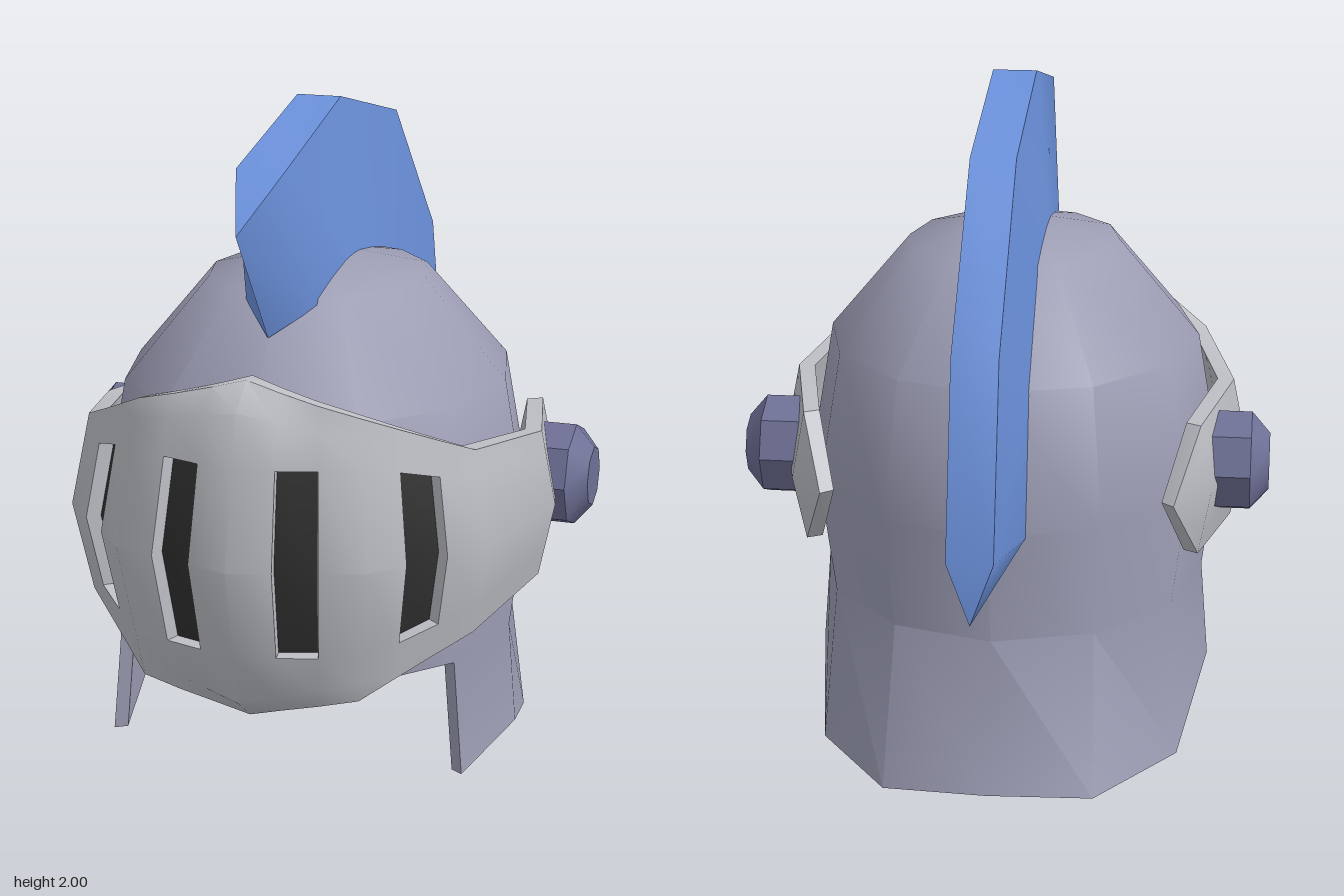
import * as THREE from 'three';
import { toCreasedNormals } from 'three/addons/utils/BufferGeometryUtils.js';

const CENTER_Z = 0.16;
const CREASE = 0.7;

const material = (name, color) => {
  const m = new THREE.MeshStandardMaterial({ color });
  m.name = name;
  return m;
};

// Linear interpolation through [x, y] pairs
function table(pairs, x) {
  for (let i = 1; i < pairs.length; i++) {
    const [x0, y0] = pairs[i - 1], [x1, y1] = pairs[i];
    if (x <= x1) return y0 + (y1 - y0) * (x - x0) / (x1 - x0);
  }
  return pairs[pairs.length - 1][1];
}

// Point on a twelve-sided ellipse; s counts sides from the front towards +x
function ring(s, rx, rz, y) {
  const k = Math.floor(s), f = s - k, step = Math.PI / 6;
  const mix = fn => fn(k * step) * (1 - f) + fn((k + 1) * step) * f;
  return [rx * mix(Math.sin), y, CENTER_Z + rz * mix(Math.cos)];
}

// Thick shell over a grid of cells, with walls along every open border.
// outer(i, j) and inner(i, j) give points; has(i, j) tells if a cell exists.
function shell(cols, rows, outer, inner, has = () => true, wrap = false) {
  const pos = [];
  const tri = (a, b, c) => {
    const [u, v, w] = [a, b, c].map(p => new THREE.Vector3(...p));
    if (v.sub(u).cross(w.sub(u)).length() > 1e-7) pos.push(...a, ...b, ...c);
  };
  const quad = (a, b, c, d) => { tri(a, b, c); tri(a, c, d); };
  const exists = (i, j) => {
    if (wrap) i = (i + cols) % cols;
    return i >= 0 && i < cols && j >= 0 && j < rows && has(i, j);
  };
  for (let i = 0; i < cols; i++) for (let j = 0; j < rows; j++) {
    if (!exists(i, j)) continue;
    const corners = [[i, j], [i, j + 1], [i + 1, j + 1], [i + 1, j]];
    const sides = [[i - 1, j], [i, j + 1], [i + 1, j], [i, j - 1]];
    const o = corners.map(c => outer(...c)), n = corners.map(c => inner(...c));
    quad(...o);
    quad(n[3], n[2], n[1], n[0]);
    sides.forEach((side, e) => {
      const f = (e + 1) % 4;
      if (!exists(...side)) quad(o[f], o[e], n[e], n[f]);
    });
  }
  const g = new THREE.BufferGeometry();
  g.setAttribute('position', new THREE.Float32BufferAttribute(pos, 3));
  return toCreasedNormals(g, CREASE);
}

// Skull dome with flared neck guard, open at the face below the rim
function helmetGeometry() {
  const profile = [[0, 0, 1.57], [0.32, 0.36, 1.49], [0.565, 0.63, 1.2], [0.635, 0.73, 0.8], [0.59, 0.67, 0.45]];
  // neck guard hem from side front to centre back
  const hem = { 2: [0.54, 0.11, 0.505], 3: [0.615, 0.145, 0.16], 4: [0.54, 0.005, -0.28], 5: [0.31, 0.005, -0.6], 6: [0, 0.025, -0.655] };
  const point = inset => (i, j) => {
    if (j < 5) {
      const [rx, rz, y] = profile[j];
      return ring(i, Math.max(0, rx - inset), Math.max(0, rz - inset), j === 0 ? y - inset : y);
    }
    const [x, y, z] = hem[Math.max(2, Math.min(i, 12 - i))];
    const k = 1 - inset / 0.62;
    return [(i > 6 ? -x : x) * k, y, CENTER_Z + (z - CENTER_Z) * k];
  };
  return shell(12, 5, point(0), point(0.04), (i, j) => j < 4 || (i >= 2 && i < 10), true);
}

// Wraparound visor grid: columns by ring position, rows by height
const half = [1 / 3, 2 / 3, 1, 4 / 3, 5 / 3, 2, 3, 4, 4.4];
const visorCols = [...half.map(s => -s).reverse(), 0, ...half];
const visorHeight = [[0, 0.49], [1, 0.41], [2, 0.27], [3, 0.22], [4, 0.2], [4.4, 0]];
const visorBulge = [[0, 1], [0.42, 0.88], [0.49, 0.77]];

const visorPoint = inset => (i, j) => {
  const s = visorCols[i], h = table(visorHeight, Math.abs(s));
  const levels = [h, h * 0.86, Math.min(0.27, h * 0.68), 0];
  const d = levels[Math.min(j, 6 - j)];
  const f = table(visorBulge, d);
  return ring(s, 0.72 * f - inset, 0.83 * f - inset, 0.84 + (j < 3 ? d : -d));
};

const isSlit = (i, j) => {
  const m = Math.abs(visorCols[i] + visorCols[i + 1]) / 2;
  return m < 2 && Math.abs(m % 1 - 0.5) < 0.1 && (j === 2 || j === 3);
};

// Crest: side outline as [outer z, outer y, inner z, inner y, outer half width, inner half width]
function crestGeometry() {
  const sections = [
    [0.87, 1.74, 0.62, 1.40, 0, 0],
    [0.67, 1.88, 0.50, 1.47, 0.07, 0.105],
    [0.16, 2.00, 0.16, 1.53, 0.065, 0.105],
    [-0.41, 1.865, -0.18, 1.44, 0.065, 0.105],
    [-0.85, 1.42, -0.43, 1.18, 0.065, 0.105],
    [-0.99, 0.89, -0.54, 0.79, 0.065, 0.105],
    [-0.99, 0.71, -0.55, 0.71, 0, 0],
  ];
  const point = side => (i, j) => {
    const [oz, oy, iz, iy, ow, iw] = sections[i];
    return j === 0 ? [side * ow, oy, oz] : [side * iw, iy, iz];
  };
  return shell(6, 1, point(1), point(-1));
}

// Eight-sided pivot bolt with a chamfered cap, axis along +y
function boltGeometry() {
  const profile = [[0, 0], [0.155, 0], [0.155, 0.135], [0.09, 0.19], [0, 0.19]];
  const g = new THREE.LatheGeometry(profile.map(p => new THREE.Vector2(...p)), 8);
  return toCreasedNormals(g, CREASE);
}

export function createModel() {
  const steel = material('steel', 0x9c9db4);
  const paleSteel = material('pale steel', 0xbcbec4);
  const boltMetal = material('bolt metal', 0x6e7096);
  const blue = material('crest blue', 0x6c92dd);
  const dark = material('slit dark', 0x303030);

  const model = new THREE.Group();
  model.name = 'helmet';
  const add = (name, geometry, mat) => {
    const mesh = new THREE.Mesh(geometry, mat);
    mesh.name = name;
    model.add(mesh);
    return mesh;
  };

  add('domeAndNeckGuard', helmetGeometry(), steel);
  const cols = visorCols.length - 1;
  add('visor', shell(cols, 6, visorPoint(0), visorPoint(0.05), (i, j) => !isSlit(i, j)), paleSteel);
  add('visorSlits', shell(cols, 6, visorPoint(0.045), visorPoint(0.053), isSlit), dark);
  add('crest', crestGeometry(), blue);

  // pivot bolts on both sides
  for (const side of [1, -1]) {
    const bolt = add(side > 0 ? 'leftBolt' : 'rightBolt', boltGeometry(), boltMetal);
    bolt.position.set(side * 0.6, 0.87, -0.04);
    bolt.rotation.z = -side * Math.PI / 2;
  }
  return model;
}
